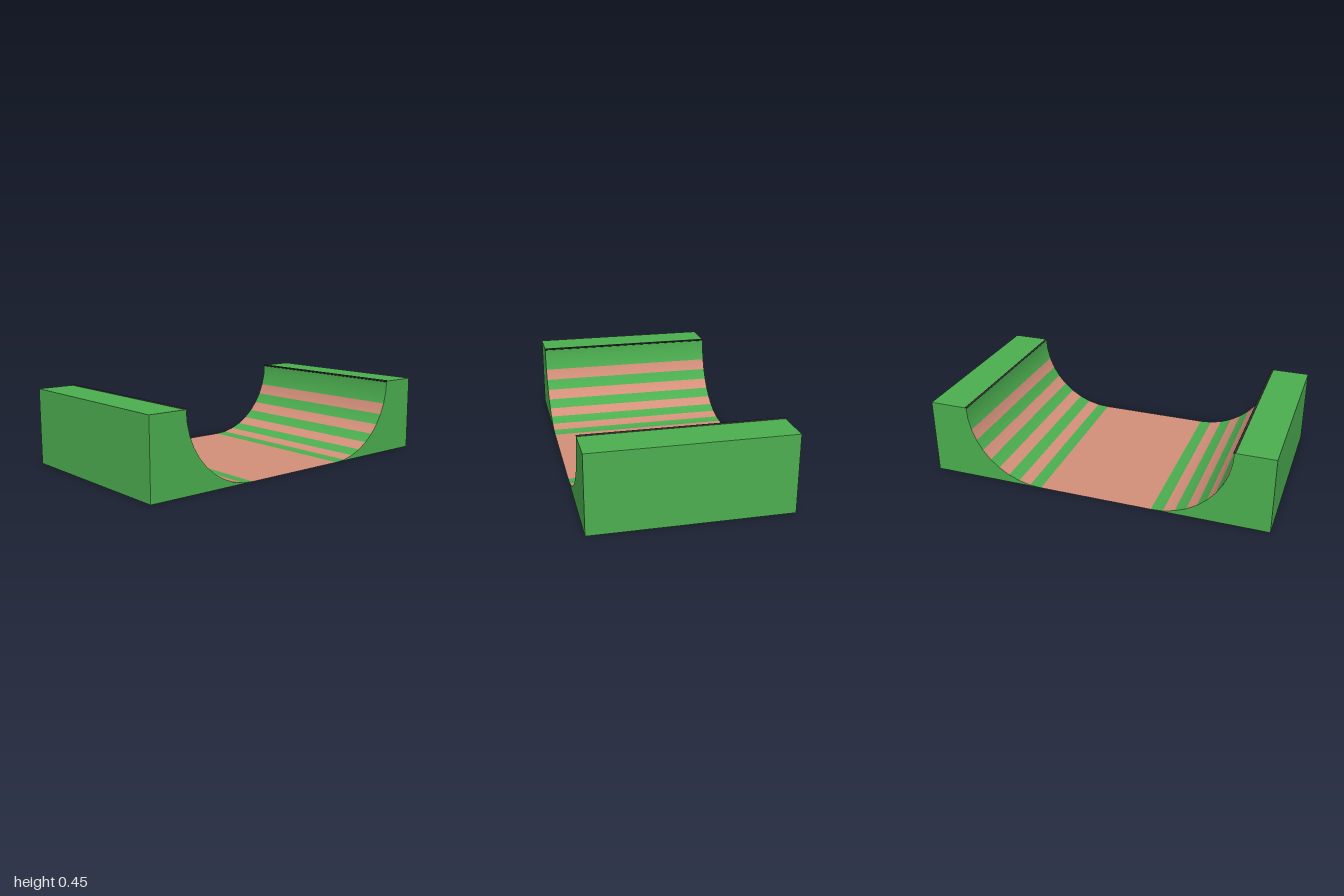
import * as THREE from 'three';

const HALF_W = 0.555;    // half width along x
const R = 0.4444;        // ramp height and curve radius
const FLAT = 0.3333;     // half length of the flat floor
const LIP = FLAT + R;    // z of the ramp lip
const STEPS = 10;        // segments along the curve

const material = (color) => new THREE.MeshStandardMaterial({ color, side: THREE.DoubleSide });

// Sweeps one profile segment [z, y] -> [z, y] across the width;
// optional end normals give smooth shading.
function strip(name, p, q, mat, np, nq) {
  const len = Math.hypot(q[0] - p[0], q[1] - p[1]);
  const flat = [(q[1] - p[1]) / len, (p[0] - q[0]) / len];
  const pos = [], nor = [];
  for (const [pt, n] of [[p, np || flat], [q, nq || flat]]) {
    for (const x of [-HALF_W, HALF_W]) {
      pos.push(x, pt[1], pt[0]);
      nor.push(0, n[1], n[0]);
    }
  }
  const geo = new THREE.BufferGeometry();
  geo.setAttribute('position', new THREE.Float32BufferAttribute(pos, 3));
  geo.setAttribute('normal', new THREE.Float32BufferAttribute(nor, 3));
  geo.setIndex([0, 1, 3, 0, 3, 2]);
  const mesh = new THREE.Mesh(geo, mat);
  mesh.name = name;
  return mesh;
}

// Curve point and inward normal at an angle measured from the floor
const curvePoint = (a) => [FLAT + R * Math.sin(a), R - R * Math.cos(a)];
const curveNormal = (a) => [-Math.sin(a), Math.cos(a)];

function createRamp(name, green, pink, dark) {
  const ramp = new THREE.Group();
  ramp.name = name;

  // Deck, outer wall and underside
  ramp.add(strip('deck', [1, R], [LIP, R], green));
  ramp.add(strip('outerWall', [1, 0], [1, R], green));
  ramp.add(strip('underside', [FLAT, 0], [1, 0], green));

  // Striped riding surface, plain green for the top two segments
  const step = Math.PI / 2 / STEPS;
  const shape = new THREE.Shape().moveTo(1, 0).lineTo(1, R);
  for (let k = STEPS - 1; k >= 0; k--) {
    const hi = (k + 1) * step, lo = k * step;
    const mat = k % 2 === 1 && k < 8 ? pink : green;
    ramp.add(strip('curveStripe', curvePoint(hi), curvePoint(lo), mat, curveNormal(hi), curveNormal(lo)));
    shape.lineTo(...curvePoint(hi));
  }
  shape.lineTo(FLAT, 0);

  // Side panels following the curved profile
  for (const side of [-1, 1]) {
    const geo = new THREE.ShapeGeometry(shape);
    if (side > 0) {
      // reverse the winding so the panel faces outward
      const idx = geo.index;
      for (let i = 0; i < idx.count; i += 3) {
        const a = idx.getX(i);
        idx.setX(i, idx.getX(i + 1));
        idx.setX(i + 1, a);
      }
      geo.computeVertexNormals();
    }
    geo.rotateY(-Math.PI / 2);
    const panel = new THREE.Mesh(geo, green);
    panel.name = 'sidePanel';
    panel.position.x = side * HALF_W;
    ramp.add(panel);
  }

  // Dark coping pipe along the lip
  const coping = new THREE.Mesh(new THREE.CylinderGeometry(0.006, 0.006, HALF_W * 2, 12), dark);
  coping.name = 'coping';
  coping.rotation.z = Math.PI / 2;
  coping.position.set(0, R, LIP);
  ramp.add(coping);
  return ramp;
}

export function createModel() {
  const model = new THREE.Group();
  model.name = 'halfPipe';
  const green = material(0x4caf50);
  const pink = material(0xd4907a);
  const dark = material(0x333333);

  // Two identical ramps facing each other
  const front = createRamp('frontRamp', green, pink, dark);
  const back = createRamp('backRamp', green, pink, dark);
  back.rotation.y = Math.PI;
  model.add(front, back);

  // Flat floor between the ramps
  model.add(strip('floor', [FLAT, 0], [-FLAT, 0], pink));
  return model;
}
